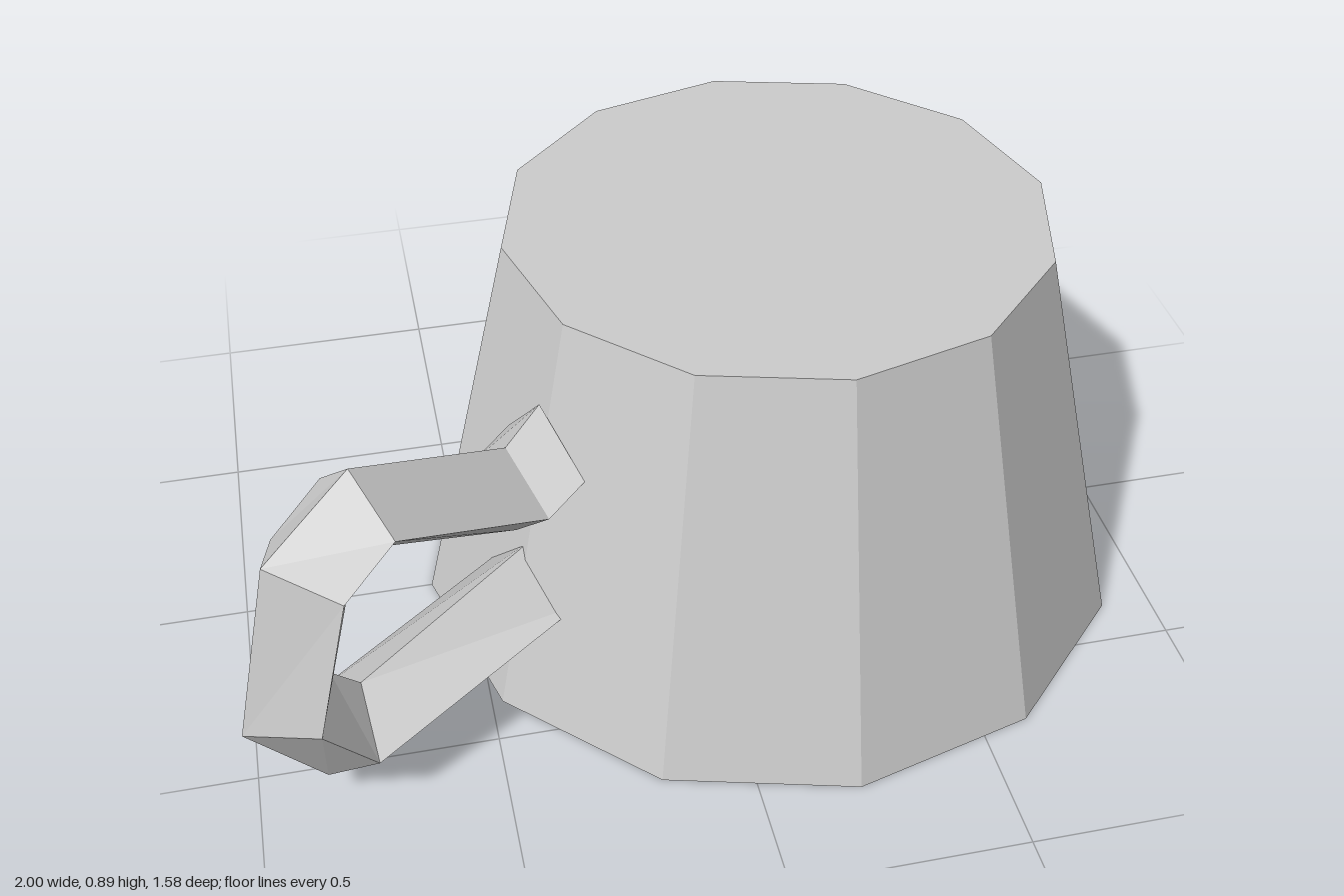
import * as THREE from 'three';

const grey = new THREE.MeshStandardMaterial({ color: 0xcccccc, flatShading: true, side: THREE.DoubleSide });

// Loft four-sided rings along the handle; each ring is [reach, height, outReach, outHeight]:
// its centre, then the offset from the centre to its outer ridge.
function loftHandle(rings, halfWidth) {
  const positions = [], index = [];
  for (const [s, y, ds, dy] of rings) {
    positions.push(
      s + ds, y + dy, 0,
      s, y, halfWidth,
      s - ds, y - dy, 0,
      s, y, -halfWidth
    );
  }
  for (let r = 0; r < rings.length - 1; r++) {
    for (let i = 0; i < 4; i++) {
      const j = (i + 1) % 4;
      const a = r * 4 + i, b = r * 4 + j;
      index.push(a, b, b + 4, a, b + 4, a + 4);
    }
  }
  // End caps
  const e = (rings.length - 1) * 4;
  index.push(0, 2, 1, 0, 3, 2, e, e + 1, e + 2, e, e + 2, e + 3);

  const geometry = new THREE.BufferGeometry();
  geometry.setAttribute('position', new THREE.Float32BufferAttribute(positions, 3));
  geometry.setIndex(index);
  return geometry;
}

export function createModel() {
  const model = new THREE.Group();
  model.name = 'cup';

  // Tapered twelve-sided body, closed on top and open underneath
  const profile = [[0.79, 0], [0.58, 0.895], [0, 0.895]].map(([r, y]) => new THREE.Vector2(r, y));
  const body = new THREE.Mesh(new THREE.LatheGeometry(profile, 12), grey);
  body.name = 'body';
  body.position.x = 0.207;
  model.add(body);

  // Angular handle, from its lower end round to its upper end
  const rings = [
    [0.47, 0.27, -0.02, -0.115],
    [0.986, 0.175, 0.051, -0.097],
    [1.101, 0.33, 0.102, -0.015],
    [1.015, 0.62, 0.091, 0.065],
    [0.892, 0.702, 0.008, 0.103],
    [0.538, 0.545, 0.006, 0.112],
    [0.445, 0.588, 0.01, 0.13]
  ];
  const handleGeometry = loftHandle(rings, 0.121);
  // Turn the reach axis towards the front right, a little off the origin
  const outward = new THREE.Vector3(-Math.cos(Math.PI / 6), 0, 0.5);
  const sideways = new THREE.Vector3(0.5, 0, Math.cos(Math.PI / 6));
  const up = new THREE.Vector3(0, 1, 0);
  handleGeometry.applyMatrix4(new THREE.Matrix4().makeBasis(outward, up, sideways)
    .setPosition(sideways.clone().multiplyScalar(0.086)));
  handleGeometry.computeVertexNormals();
  const handle = new THREE.Mesh(handleGeometry, grey);
  handle.name = 'handle';
  model.add(handle);

  return model;
}
